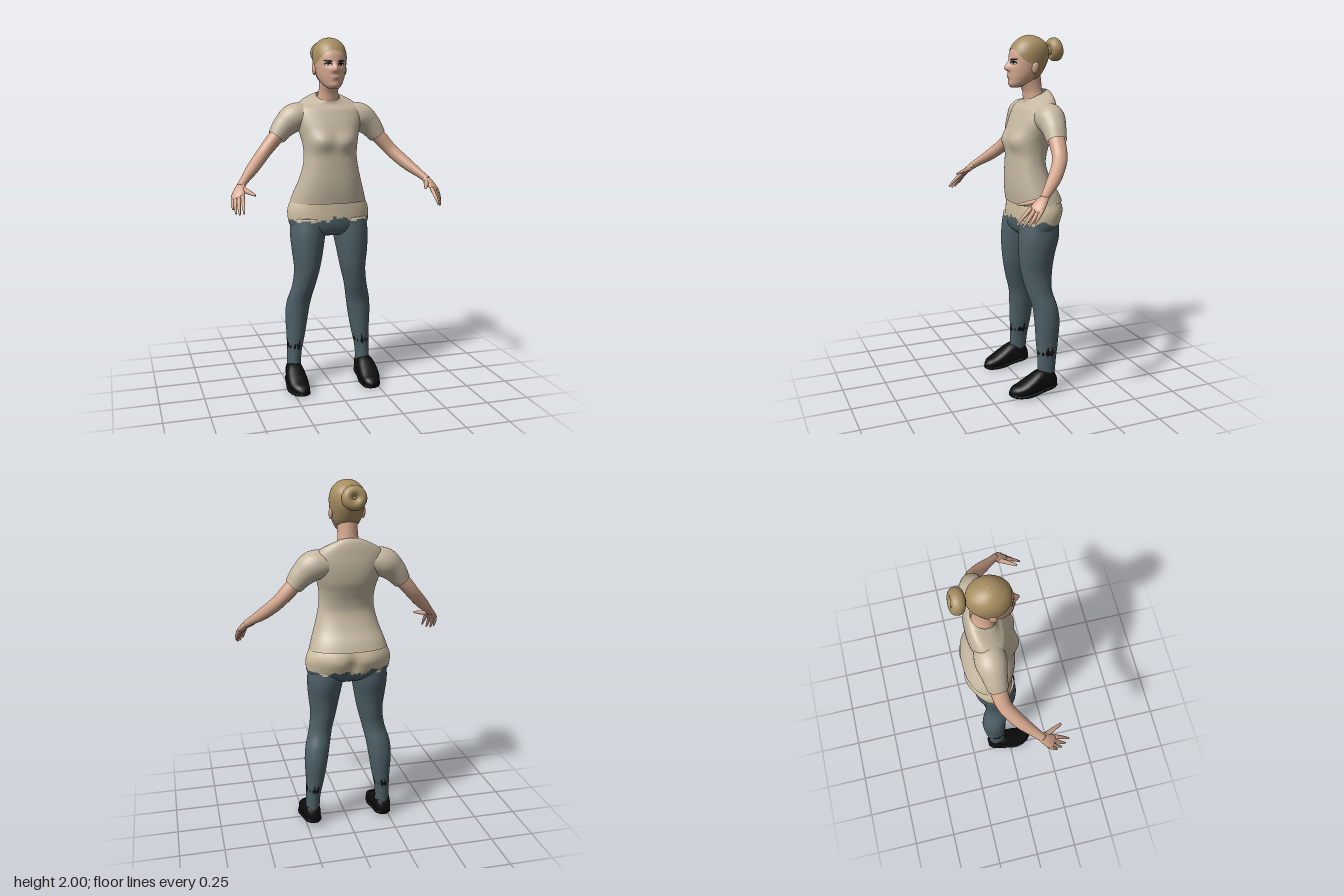
import * as THREE from 'three';

const mat = (name, color, side = THREE.FrontSide) => {
  const m = new THREE.MeshStandardMaterial({ color, side });
  m.name = name;
  return m;
};
const V = (x, y, z) => new THREE.Vector3(x, y, z);
const gauss = (d, w) => Math.exp(-(d * d) / (w * w));
const step = THREE.MathUtils.smoothstep;

// Smooth lookup in a table of rows [key, value, value, ...] with rising keys
function sample(table, key) {
  const n = table.length;
  let i = 0;
  while (i < n - 2 && key > table[i + 1][0]) i++;
  const a = table[i], b = table[i + 1], h = b[0] - a[0];
  const t = THREE.MathUtils.clamp((key - a[0]) / h, 0, 1), t2 = t * t, t3 = t2 * t;
  const slope = (k, c) => {
    const p = table[Math.max(k - 1, 0)], q = table[Math.min(k + 1, n - 1)];
    return (q[c] - p[c]) / (q[0] - p[0]);
  };
  return a.map((_, c) => (2 * t3 - 3 * t2 + 1) * a[c] + (t3 - 2 * t2 + t) * h * slope(i, c)
    + (3 * t2 - 2 * t3) * b[c] + (t3 - t2) * h * slope(i + 1, c));
}

// Surface through closed rings; pick(centre) chooses a material slot per quad
function skinRings(rows, capped = false, pick = null) {
  if (capped) {
    const flat = (r) => {
      const c = r.reduce((s, p) => s.add(p), V(0, 0, 0)).divideScalar(r.length);
      return r.map(() => c);
    };
    rows = [flat(rows[0]), ...rows, flat(rows[rows.length - 1])];
  }
  const seg = rows[0].length, slots = [];
  for (let i = 0; i < rows.length - 1; i++) for (let j = 0; j < seg; j++) {
    const k = (j + 1) % seg, a = i * seg + j, b = i * seg + k, c = a + seg, d = b + seg;
    const s = pick ? pick(rows[i][j].clone().add(rows[i + 1][k]).multiplyScalar(0.5), i, j) : 0;
    (slots[s] ||= []).push(a, c, d, a, d, b);
  }
  const g = new THREE.BufferGeometry().setFromPoints(rows.flat());
  const index = [];
  slots.forEach((list, s) => {
    if (pick) g.addGroup(index.length, list.length, s);
    for (const v of list) index.push(v);
  });
  g.setIndex(index);
  g.computeVertexNormals();
  return g;
}

// Point on an upright section [y, centreX, radiusX, frontZ, backZ]
function sectionPoint(s, a, power = 2) {
  const bend = (v) => Math.sign(v) * Math.abs(v) ** (2 / power);
  return V(s[1] + s[2] * bend(Math.cos(a)), s[0], (s[3] + s[4]) / 2 + (s[3] - s[4]) / 2 * bend(Math.sin(a)));
}
function loft(table, { seg = 48, rows = 40, power = 2, deform = null, capped = false, pick = null } = {}) {
  const y0 = table[0][0], y1 = table[table.length - 1][0], list = [];
  for (let i = 0; i <= rows; i++) {
    const s = sample(table, y0 + (y1 - y0) * i / rows), ring = [];
    for (let j = 0; j < seg; j++) {
      const p = sectionPoint(s, j / seg * Math.PI * 2, power);
      if (deform) deform(p);
      ring.push(p);
    }
    list.push(ring);
  }
  return skinRings(list, capped, pick);
}

// Tube with oval sections; radii are [across, through] pairs, one per point
function limb(points, radii, across, { seg = 20, rows = 24, capped = true } = {}) {
  const curve = new THREE.CatmullRomCurve3(points.map((p) => V(...p)));
  const table = radii.map((r, i) => [i, r[0], r[1]]), list = [];
  for (let i = 0; i <= rows; i++) {
    const t = i / rows, c = curve.getPoint(t), T = curve.getTangent(t);
    const N = across.clone().addScaledVector(T, -across.dot(T)).normalize(), B = N.clone().cross(T);
    const [, rn, rb] = sample(table, t * (radii.length - 1));
    list.push(Array.from({ length: seg }, (_, j) => {
      const a = j / seg * Math.PI * 2;
      return c.clone().addScaledVector(N, rn * Math.cos(a)).addScaledVector(B, rb * Math.sin(a));
    }));
  }
  return skinRings(list, capped);
}
function mirrored(g) {
  const m = g.clone().scale(-1, 1, 1), ix = m.index.array;
  for (let i = 0; i < ix.length; i += 3) [ix[i + 1], ix[i + 2]] = [ix[i + 2], ix[i + 1]];
  return m;
}

// Head surface with nose, eye sockets and lips
const HEAD = [[1.722, 0, 0.028, 0.048, 0], [1.737, 0, 0.046, 0.057, -0.04], [1.76, 0, 0.063, 0.059, -0.09],
  [1.79, 0, 0.076, 0.06, -0.122], [1.83, 0, 0.085, 0.06, -0.147], [1.87, 0, 0.09, 0.057, -0.165],
  [1.91, 0, 0.091, 0.049, -0.168], [1.95, 0, 0.08, 0.027, -0.155], [1.978, 0, 0.055, -0.005, -0.122],
  [1.991, 0, 0.03, -0.032, -0.09], [1.996, 0, 0.002, -0.058, -0.062]];
function headPoint(a, y) {
  const p = sectionPoint(sample(HEAD, y), a);
  if (Math.sin(a) > 0) {
    const x = Math.abs(p.x);
    p.z += 0.026 * gauss(x, 0.009 + 0.008 * step(1.87 - y, 0, 0.05)) * step(1.875 - y, 0, 0.05) * step(y, 1.802, 1.822)
      - 0.007 * gauss(x - 0.035, 0.018) * gauss(y - 1.852, 0.014)
      + 0.005 * gauss(x, 0.02) * gauss(y - 1.778, 0.011) + 0.004 * gauss(x, 0.02) * gauss(y - 1.742, 0.01);
  }
  return p;
}
// Thin oval plate lying on the face
function facePatch(x, y, w, h, lift, tilt = 0) {
  const rows = [0, 0.35, 0.7, 1].map((r) => Array.from({ length: 20 }, (_, j) => {
    const a = j / 20 * Math.PI * 2, px = x + w * r * Math.cos(a);
    const py = y + h * r * Math.sin(a) + tilt * (px - x);
    const p = headPoint(Math.acos(px / sample(HEAD, py)[2]), py);
    p.z += lift;
    return p;
  }));
  return skinRings(rows);
}

export function createModel() {
  const model = new THREE.Group();
  const skin = mat('skin', 0xd3a68d), hair = mat('hair', 0xa68d60, THREE.DoubleSide);
  const shirt = mat('shirt cloth', 0xc4b7a0, THREE.DoubleSide), hip = mat('hip cloth', 0xcbbc9f);
  const denim = mat('trouser cloth', 0x4c5f66), black = mat('black', 0x0d0d0e);
  const white = mat('eye white', 0xd8d2cb), lip = mat('lips', 0xb07f70);
  const add = (name, g, m) => {
    const mesh = new THREE.Mesh(g, m);
    mesh.name = name;
    model.add(mesh);
    return mesh;
  };
  const pair = (name, g, m) => { add('left ' + name, g, m); add('right ' + name, mirrored(g), m); };

  // Head and neck
  const ring = (f, n = 80) => Array.from({ length: n }, (_, j) => f(j / n * Math.PI * 2));
  const headRows = [];
  for (let i = 0; i <= 70; i++) {
    const y = 1.722 + 0.274 * Math.sin(i / 70 * Math.PI / 2);
    headRows.push(ring((a) => headPoint(a, y), 96));
  }
  add('head', skinRings(headRows, true), skin);
  add('neck', loft([[1.6, 0, 0.08, -0.04, -0.16], [1.66, 0, 0.066, -0.03, -0.15], [1.7, 0, 0.056, -0.024, -0.135],
    [1.74, 0, 0.054, -0.005, -0.13], [1.79, 0, 0.055, 0.01, -0.125]], { rows: 16 }), skin);
  const ear = new THREE.SphereGeometry(1, 16, 12).scale(0.011, 0.033, 0.02).rotateX(-0.2).translate(0.088, 1.828, -0.06);
  pair('ear', ear, skin);

  // Face details
  pair('eye outline', facePatch(0.036, 1.854, 0.021, 0.010, 0.002), black);
  pair('eye white', facePatch(0.037, 1.851, 0.014, 0.005, 0.003), white);
  pair('iris', facePatch(0.036, 1.852, 0.006, 0.006, 0.004), black);
  pair('eyebrow', facePatch(0.038, 1.871, 0.024, 0.005, 0.003, 0.1), black);
  add('lips', facePatch(0, 1.779, 0.022, 0.007, 0.002), lip);

  // Hair cap, from the hairline up to the crown, and the bun
  const HAIRLINE = [[-1, 1.765], [-0.6, 1.768], [-0.3, 1.785], [-0.12, 1.845], [0.2, 1.852], [0.45, 1.866],
    [0.7, 1.892], [0.9, 1.917], [1, 1.926]];
  const mid = V(0, 1.87, -0.055), hairRows = [];
  for (let i = 0; i <= 30; i++) hairRows.push(ring((a) => {
    const low = sample(HAIRLINE, Math.sin(a))[1];
    return headPoint(a, low + (1.996 - low) * Math.sin(i / 30 * Math.PI / 2)).sub(mid).multiplyScalar(1.034).add(mid);
  }));
  add('hair cap', skinRings(hairRows), hair);
  const bun = add('hair bun', new THREE.TorusGeometry(0.037, 0.03, 18, 36).scale(1, 0.97, 1.15), hair);
  bun.position.set(0, 1.922, -0.212);
  bun.rotation.x = 0.2;
  const core = add('bun core', new THREE.SphereGeometry(0.03, 16, 12), hair);
  core.position.set(0, 1.92, -0.195);

  // Shirt body with bust and tilted neckline
  add('shirt body', loft([[1.085, 0, 0.219, 0.052, -0.226], [1.15, 0, 0.2, 0.061, -0.2], [1.22, 0, 0.177, 0.065, -0.163],
    [1.3, 0, 0.157, 0.064, -0.138], [1.36, 0, 0.151, 0.062, -0.144], [1.42, 0, 0.156, 0.063, -0.163],
    [1.47, 0, 0.168, 0.055, -0.181], [1.53, 0, 0.185, 0.037, -0.19], [1.58, 0, 0.195, 0.014, -0.191],
    [1.62, 0, 0.188, -0.006, -0.187], [1.65, 0, 0.15, -0.022, -0.18], [1.67, 0, 0.1, -0.03, -0.17],
    [1.683, 0, 0.066, -0.03, -0.155]], {
    seg: 64, rows: 60, power: 2.3, deform: (p) => {
      if (p.z > -0.02) p.z += 0.022 * gauss(Math.abs(p.x) - 0.075, 0.06) * gauss(p.y - 1.435, 0.05);
      p.y -= (p.z + 0.095) * 0.45 * step(p.y, 1.6, 1.683) - 0.015 * step(-p.z, 0, 0.2) * step(1.2 - p.y, 0, 0.1);
    },
  }), shirt);
  const up = V(0.7, 0.7, 0);
  pair('sleeve', limb([[0.1, 1.575, -0.1], [0.19, 1.562, -0.1], [0.25, 1.517, -0.096], [0.3, 1.455, -0.09]],
    [[0.065, 0.07], [0.08, 0.081], [0.067, 0.066], [0.05, 0.054]], up, { seg: 32, capped: false }), shirt);

  // Arms and hands
  pair('arm', limb([[0.25, 1.51, -0.095], [0.32, 1.435, -0.088], [0.37, 1.378, -0.075], [0.41, 1.335, -0.047],
    [0.46, 1.285, 0], [0.51, 1.238, 0.057], [0.54, 1.208, 0.092]],
  [[0.044, 0.045], [0.041, 0.044], [0.037, 0.04], [0.036, 0.038], [0.032, 0.035], [0.023, 0.026], [0.02, 0.022]],
  up, { seg: 24, rows: 36 }), skin);
  const spread = V(0.67, 0.07, -0.74);
  pair('palm', limb([[0.53, 1.218, 0.08], [0.548, 1.19, 0.112], [0.56, 1.165, 0.138], [0.563, 1.153, 0.15]],
    [[0.022, 0.019], [0.034, 0.018], [0.038, 0.014], [0.03, 0.008]], spread), skin);
  const fingers = {
    'index finger': [[0.538, 1.168, 0.158], [0.543, 1.125, 0.205], [0.546, 1.087, 0.24]],
    'middle finger': [[0.554, 1.164, 0.145], [0.563, 1.115, 0.187], [0.565, 1.078, 0.217]],
    'ring finger': [[0.569, 1.164, 0.13], [0.579, 1.115, 0.167], [0.58, 1.08, 0.191]],
    'little finger': [[0.58, 1.168, 0.115], [0.59, 1.13, 0.142], [0.591, 1.098, 0.162]],
    thumb: [[0.53, 1.2, 0.1], [0.504, 1.186, 0.158], [0.48, 1.176, 0.207]],
  };
  for (const [name, path] of Object.entries(fingers)) {
    const fat = name === 'thumb' ? 1.35 : 1;
    pair(name, limb(path, [0.0115, 0.009, 0.0045].map((r) => [r * fat, r * fat]), spread, { seg: 10, rows: 10 }), skin);
  }

  // Hips and legs: ragged waist edge and dark ankle patches
  const waist = (p) => {
    const a = Math.atan2(p.z + 0.08, p.x);
    const edge = 0.985 + 0.01 * Math.sin(5 * a + 1) + 0.009 * Math.sin(13 * a) + 0.012 * Math.sin(a);
    return p.y < edge ? 1 : 0;
  };
  add('hips', loft([[0.9, 0, 0.1, 0.01, -0.13], [0.925, 0, 0.2, 0.035, -0.17], [0.96, 0, 0.23, 0.046, -0.198],
    [1, 0, 0.238, 0.048, -0.214], [1.05, 0, 0.236, 0.046, -0.224], [1.1, 0, 0.214, 0.042, -0.212],
    [1.14, 0, 0.19, 0.035, -0.18]], {
    seg: 90, rows: 36, power: 2.15, capped: true, pick: waist, deform: (p) => {
      if (p.z < -0.08) p.z += 0.022 * gauss(p.x, 0.03) * gauss(p.y - 1, 0.07)
        - 0.009 * gauss(Math.abs(p.x) - 0.095, 0.06) * gauss(p.y - 1.04, 0.06);
    },
  }), [hip, denim]);
  const legPick = (p, i, j) => {
    if (p.y > 0.9) return waist(p);
    const n = Math.sin(j * 1.7) * 0.5 + Math.sin(j * 0.6 + 1) * 0.5;
    return Math.abs(p.y - 0.24 - 0.01 * n) < 0.026 * n + 0.006 ? 2 : 1;
  };
  pair('leg', loft([[0.1, 0.212, 0.039, -0.03, -0.13], [0.2, 0.208, 0.042, -0.03, -0.14], [0.3, 0.198, 0.053, -0.025, -0.155],
    [0.42, 0.19, 0.066, -0.02, -0.165], [0.5, 0.18, 0.069, -0.013, -0.156], [0.6, 0.156, 0.066, 0.018, -0.132],
    [0.7, 0.138, 0.073, 0.041, -0.14], [0.8, 0.133, 0.088, 0.051, -0.156], [0.9, 0.128, 0.1, 0.051, -0.182],
    [1, 0.12, 0.1, 0.04, -0.185]], { seg: 44, rows: 90, capped: true, pick: legPick }), [hip, denim, black]);

  // Shoes: uppers and soles, swept from heel to toe; [z, centreX, halfWidth, bottom, top]
  const shoe = (table, power) => {
    const rows = [];
    for (let i = 0; i <= 30; i++) {
      const s = sample(table, -0.14 + 0.28 * i / 30);
      rows.push(ring((a) => {
        const p = sectionPoint([0, s[1], s[2], s[3], s[4]], a, power);
        return V(p.x, p.z, s[0]);
      }, 32));
    }
    return skinRings(rows, true);
  };
  pair('shoe', shoe([[-0.14, 0.212, 0.022, 0.035, 0.09], [-0.12, 0.213, 0.04, 0.025, 0.128], [-0.08, 0.215, 0.047, 0.02, 0.142],
    [-0.03, 0.217, 0.053, 0.015, 0.138], [0.03, 0.217, 0.058, 0.01, 0.103], [0.08, 0.214, 0.053, 0.006, 0.073],
    [0.12, 0.208, 0.038, 0.004, 0.056], [0.14, 0.205, 0.014, 0.008, 0.036]], 2.4), black);
  pair('shoe sole', shoe([[-0.14, 0.212, 0.026, 0.03, 0.05], [-0.11, 0.213, 0.046, 0.025, 0.05], [-0.03, 0.217, 0.056, 0.016, 0.035],
    [0.03, 0.217, 0.063, 0.004, 0.024], [0.08, 0.214, 0.057, 0, 0.02], [0.12, 0.208, 0.041, 0.001, 0.02],
    [0.14, 0.205, 0.018, 0.006, 0.02]], 4), black);

  return model;
}
